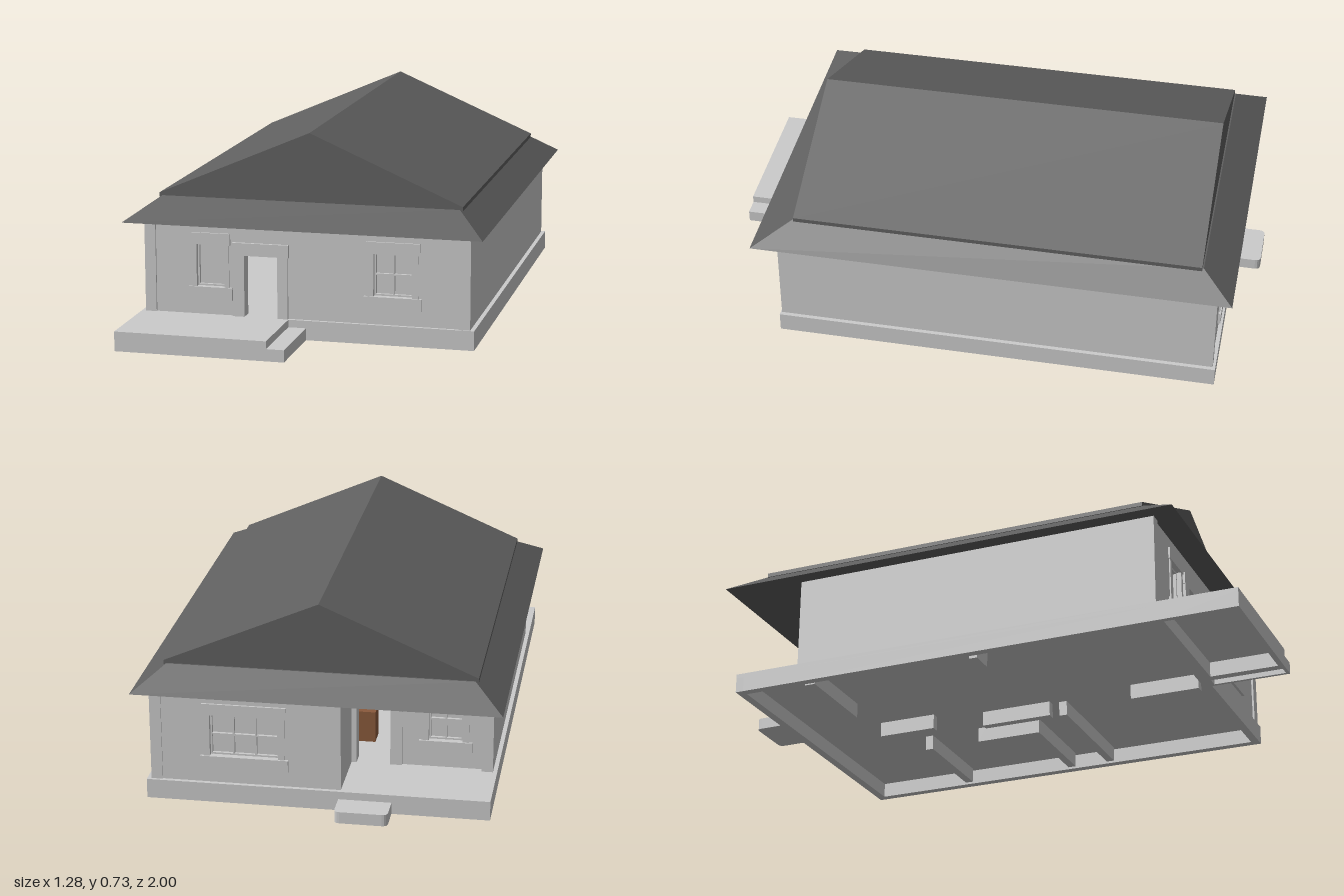
import * as THREE from 'three';

const grey = new THREE.MeshStandardMaterial({ color: 0xcccccc, flatShading: true });
const roofMat = new THREE.MeshStandardMaterial({ color: 0x606060, flatShading: true });
const brown = new THREE.MeshStandardMaterial({ color: 0x8a5a3c, flatShading: true });
const FLOOR = 0.07, EAVE = 0.41;

// Box given by its extents
function block(parent, name, x0, x1, y0, y1, z0, z1, mat = grey) {
  const m = new THREE.Mesh(new THREE.BoxGeometry(x1 - x0, y1 - y0, z1 - z0), mat);
  m.position.set((x0 + x1) / 2, (y0 + y1) / 2, (z0 + z1) / 2);
  m.name = name;
  parent.add(m);
  return m;
}

function group(parent, name) {
  const g = new THREE.Group();
  g.name = name;
  parent.add(g);
  return g;
}

// Slab on a rim, hollow below
function plinth(parent, name, x0, x1, z0, z1, h, t = 0.03) {
  const g = group(parent, name);
  block(g, 'slab', x0, x1, h - 0.015, h, z0, z1);
  const top = h - 0.015;
  block(g, 'rimBack', x0, x1, 0, top, z0, z0 + t);
  block(g, 'rimFront', x0, x1, 0, top, z1 - t, z1);
  block(g, 'rimRight', x0, x0 + t, 0, top, z0 + t, z1 - t);
  block(g, 'rimLeft', x1 - t, x1, 0, top, z0 + t, z1 - t);
}

// Wall across x with rectangular openings [x0, x1, y0, y1]
function wall(parent, name, x0, x1, z0, depth, openings) {
  const rect = (p, a, b, c, d) => p.moveTo(a, c).lineTo(b, c).lineTo(b, d).lineTo(a, d).closePath();
  const s = rect(new THREE.Shape(), x0, x1, 0.06, EAVE);
  for (const o of openings) s.holes.push(rect(new THREE.Path(), ...o));
  const m = new THREE.Mesh(new THREE.ExtrudeGeometry(s, { depth, bevelEnabled: false }), grey);
  m.position.z = z0;
  m.name = name;
  parent.add(m);
}

// Trim, sill, pane and glazing bars; dir is the outward z direction
function windowUnit(parent, name, [x0, x1, y0, y1], z, dir, cols, rows, side = 0.022) {
  const g = group(parent, name);
  const at = (n, a, b, c, d, near, far) => {
    const p = z + dir * near, q = z + dir * far;
    block(g, n, a, b, c, d, Math.min(p, q), Math.max(p, q));
  };
  at('head', x0 - side - 0.005, x1 + side + 0.005, y1, y1 + 0.042, 0, 0.007);
  at('sill', x0 - side - 0.012, x1 + side + 0.012, y0 - 0.045, y0, 0, 0.01);
  at('jamb', x0 - side, x0, y0, y1, 0, 0.005);
  at('jamb', x1, x1 + side, y0, y1, 0, 0.005);
  at('pane', x0, x1, y0, y1, -0.03, -0.024);
  for (let i = 0; i <= cols; i++) {
    const x = x0 + 0.003 + (x1 - x0 - 0.006) * i / cols;
    at('verticalBar', x - 0.003, x + 0.003, y0, y1, -0.024, -0.012);
  }
  for (let j = 0; j <= rows; j++) {
    const y = y0 + 0.003 + (y1 - y0 - 0.006) * j / rows;
    at('crossBar', x0, x1, y - 0.003, y + 0.003, -0.024, -0.013);
  }
}

function doorFrame(parent, name, z0, z1) {
  const g = group(parent, name);
  block(g, 'head', -0.265, -0.06, 0.29, 0.335, z0, z1);
  block(g, 'jamb', -0.262, -0.22, FLOOR, 0.29, z0, z1);
  block(g, 'jamb', -0.1, -0.063, FLOOR, 0.29, z0, z1);
}

function buildRoof(parent) {
  const g = group(parent, 'roof');
  // Flared skirt around the eaves
  const skirt = new THREE.BoxGeometry(2, 1, 2).toNonIndexed();
  const p = skirt.attributes.position;
  for (let i = 0; i < p.count; i++) {
    const top = p.getY(i) > 0, front = p.getZ(i) > 0;
    p.setXYZ(i, Math.sign(p.getX(i)) * (top ? 0.535 : 0.64), top ? 0.48 : 0.405,
      top ? (front ? 0.65 : -0.83) : (front ? 0.79 : -0.945));
  }
  skirt.computeVertexNormals();
  const s = new THREE.Mesh(skirt, roofMat);
  s.name = 'eaveSkirt';
  g.add(s);
  // Gabled upper roof
  const shape = new THREE.Shape([[-0.545, 0.475], [0.545, 0.475], [0.545, 0.49], [0.003, 0.725], [-0.545, 0.49]]
    .map(([x, y]) => new THREE.Vector2(x, y)));
  const m = new THREE.Mesh(new THREE.ExtrudeGeometry(shape, { depth: 1.475, bevelEnabled: false }), roofMat);
  m.position.z = -0.825;
  m.name = 'gable';
  g.add(m);
}

function buildFurniture(parent) {
  const g = group(parent, 'furniture');
  block(g, 'cabinet', -0.145, -0.07, FLOOR + 0.015, 0.2, -0.5, -0.42, brown);
  const table = group(g, 'table');
  block(table, 'top', -0.215, -0.115, 0.142, 0.15, -0.3, -0.12);
  const chair = group(g, 'chair');
  block(chair, 'seat', -0.185, -0.13, 0.115, 0.122, -0.05, 0.01);
  block(chair, 'backRail', -0.185, -0.13, 0.165, 0.18, -0.056, -0.05);
  for (const i of [0, 1]) for (const j of [0, 1]) {
    const tx = i ? -0.122 : -0.213, tz = j ? -0.13 : -0.295;
    block(table, 'leg', tx, tx + 0.006, FLOOR, 0.142, tz, tz + 0.006);
    const cx = i ? -0.135 : -0.185, cz = j ? 0.004 : -0.056;
    block(chair, 'leg', cx, cx + 0.005, FLOOR, j ? 0.115 : 0.18, cz, cz + 0.006);
  }
}

export function createModel() {
  const house = new THREE.Group();
  house.name = 'house';

  // Base, front porch and steps
  plinth(house, 'foundation', -0.6, 0.6, -0.9, 0.71, FLOOR);
  plinth(house, 'frontPorch', -0.6, -0.06, 0.71, 1.0, FLOOR, 0.02);
  plinth(house, 'porchStep', -0.06, 0.003, 0.71, 1.0, 0.043, 0.012);
  const c = new THREE.Shape();
  c.moveTo(-0.26, -0.89).lineTo(-0.26, -0.98).quadraticCurveTo(-0.26, -1, -0.24, -1)
    .lineTo(-0.095, -1).quadraticCurveTo(-0.075, -1, -0.075, -0.98).lineTo(-0.075, -0.89).closePath();
  const step = new THREE.Mesh(new THREE.ExtrudeGeometry(c, { depth: 0.042, bevelEnabled: false, curveSegments: 4 }), grey);
  step.rotation.x = Math.PI / 2;
  step.scale.y = 1;
  step.position.y = 0.042;
  step.name = 'backStep';
  house.add(step);

  // Outer walls; the back right corner is a recessed porch
  const door = [-0.22, -0.1, FLOOR, 0.29];
  const frontSmall = [-0.395, -0.293, 0.17, 0.322];
  const frontLarge = [0.243, 0.38, 0.17, 0.322];
  const backLarge = [0.135, 0.375, 0.17, 0.322];
  const porchWindow = [-0.475, -0.355, 0.17, 0.322];
  const walls = group(house, 'walls');
  block(walls, 'leftWall', 0.545, 0.585, 0.06, EAVE, -0.89, 0.705);
  block(walls, 'rightWall', -0.585, -0.545, 0.06, EAVE, -0.66, 0.705);
  wall(walls, 'frontWall', -0.546, 0.546, 0.66, 0.038, [door, frontSmall, frontLarge]);
  wall(walls, 'backWall', -0.08, 0.546, -0.885, 0.04, [backLarge]);
  wall(walls, 'porchBackWall', -0.546, -0.04, -0.64, 0.04, [door, porchWindow]);
  block(walls, 'porchSideWall', -0.082, -0.042, 0.06, EAVE, -0.885, -0.6);

  windowUnit(house, 'frontRightWindow', frontSmall, 0.698, 1, 1, 1, 0.016);
  windowUnit(house, 'frontLeftWindow', frontLarge, 0.698, 1, 2, 2);
  windowUnit(house, 'backWindow', backLarge, -0.885, -1, 3, 2);
  windowUnit(house, 'porchWindow', porchWindow, -0.64, -1, 2, 2);
  doorFrame(house, 'frontDoorFrame', 0.69, 0.708);
  doorFrame(house, 'backDoorFrame', -0.65, -0.63);

  // Inner walls with their footings, left open at doorways [x0, x1, z0, z1]
  const inner = group(house, 'innerWalls');
  for (const [x0, x1, z0, z1] of [
    [0.19, 0.55, -0.06, -0.03], [0.17, 0.2, -0.28, -0.03], [0.03, 0.06, -0.2, 0.07],
    [-0.02, 0.01, -0.6, -0.38], [0.05, 0.55, 0.1, 0.13], [0.0, 0.03, 0.4, 0.66],
    [0.17, 0.55, -0.5, -0.47], [-0.55, -0.46, 0, 0.03],
  ]) block(inner, 'partition', x0, x1, 0, EAVE, z0, z1);
  block(inner, 'porchFooting', -0.56, -0.22, 0, 0.06, -0.64, -0.6);

  buildFurniture(house);
  buildRoof(house);
  return house;
}
